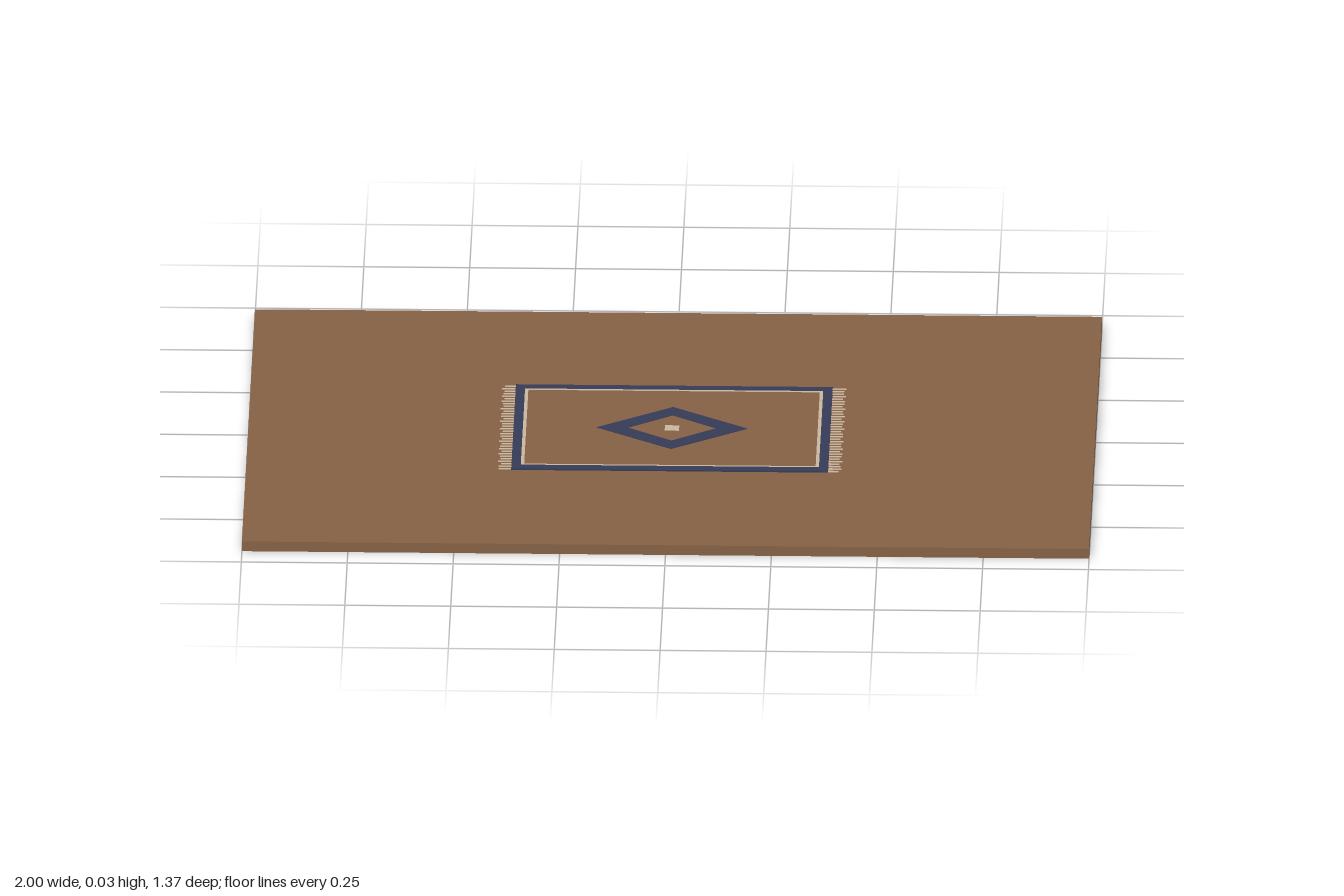
import * as THREE from 'three';

const mat = (name, color, side = THREE.FrontSide) => {
  const m = new THREE.MeshStandardMaterial({ color, side });
  m.name = name;
  return m;
};

const rect = (x, z) => [[-x, -z], [x, -z], [x, z], [-x, z]];
const diamond = (x, z) => [[-x, 0], [0, -z], [x, 0], [0, z]];
const toPoints = (list) => list.map(([x, y]) => new THREE.Vector2(x, y));

export function createModel() {
  const group = new THREE.Group();
  const wood = mat('wood brown', 0x866145, THREE.DoubleSide);
  const navy = mat('navy wool', 0x353b58);
  const cream = mat('cream thread', 0xcbb7a0);
  const W = 1, D = 0.686, FLOOR = 0.025;

  // Floor: an open shell with a top and three skirts (back and underside open)
  function panel(name, width, height, position, rotation) {
    const mesh = new THREE.Mesh(new THREE.PlaneGeometry(width, height), wood);
    mesh.name = name;
    mesh.position.set(...position);
    mesh.rotation.set(...rotation);
    group.add(mesh);
  }
  panel('floorTop', 2 * W, 2 * D, [0, FLOOR, 0], [-Math.PI / 2, 0, 0]);
  panel('floorFront', 2 * W, FLOOR, [0, FLOOR / 2, D], [0, 0, 0]);
  for (const side of [-1, 1]) {
    panel(side > 0 ? 'floorLeft' : 'floorRight', 2 * D, FLOOR, [side * W, FLOOR / 2, 0], [0, side * Math.PI / 2, 0]);
  }

  // Flat horizontal plate from an outline, optionally with a hole
  function plate(name, material, outline, hole, bottom, top) {
    const shape = new THREE.Shape(toPoints(outline));
    if (hole) shape.holes.push(new THREE.Path(toPoints(hole)));
    const geo = new THREE.ExtrudeGeometry(shape, { depth: top - bottom, bevelEnabled: false });
    geo.rotateX(-Math.PI / 2);
    geo.translate(0, bottom, 0);
    const mesh = new THREE.Mesh(geo, material);
    mesh.name = name;
    group.add(mesh);
  }

  // Rug: field, border, thread line, and medallion
  plate('rugField', wood, rect(0.352, 0.225), null, FLOOR, 0.0275);
  plate('rugBorder', navy, rect(0.374, 0.249), rect(0.352, 0.225), FLOOR, 0.0285);
  plate('rugThreadLine', cream, rect(0.352, 0.225), rect(0.344, 0.219), 0.0275, 0.0285);
  plate('rugMedallion', navy, diamond(0.178, 0.123), diamond(0.105, 0.075), 0.0275, 0.0285);
  plate('rugCentre', cream, rect(0.017, 0.015), null, 0.0275, 0.0285);

  // Fringe strands lying on the floor along both short ends
  const fringe = new THREE.Group();
  fringe.name = 'rugFringe';
  const count = 34;
  for (const side of [-1, 1]) {
    for (let i = 0; i < count; i++) {
      const length = 0.029 + 0.004 * Math.sin(i * 2.4 + side);
      const strand = new THREE.Mesh(new THREE.BoxGeometry(length, 0.001, 0.007), cream);
      strand.name = 'fringeStrand';
      strand.position.set(side * (0.374 + length / 2), FLOOR + 0.0005, -0.243 + (0.486 * i) / (count - 1));
      fringe.add(strand);
    }
  }
  group.add(fringe);

  return group;
}
